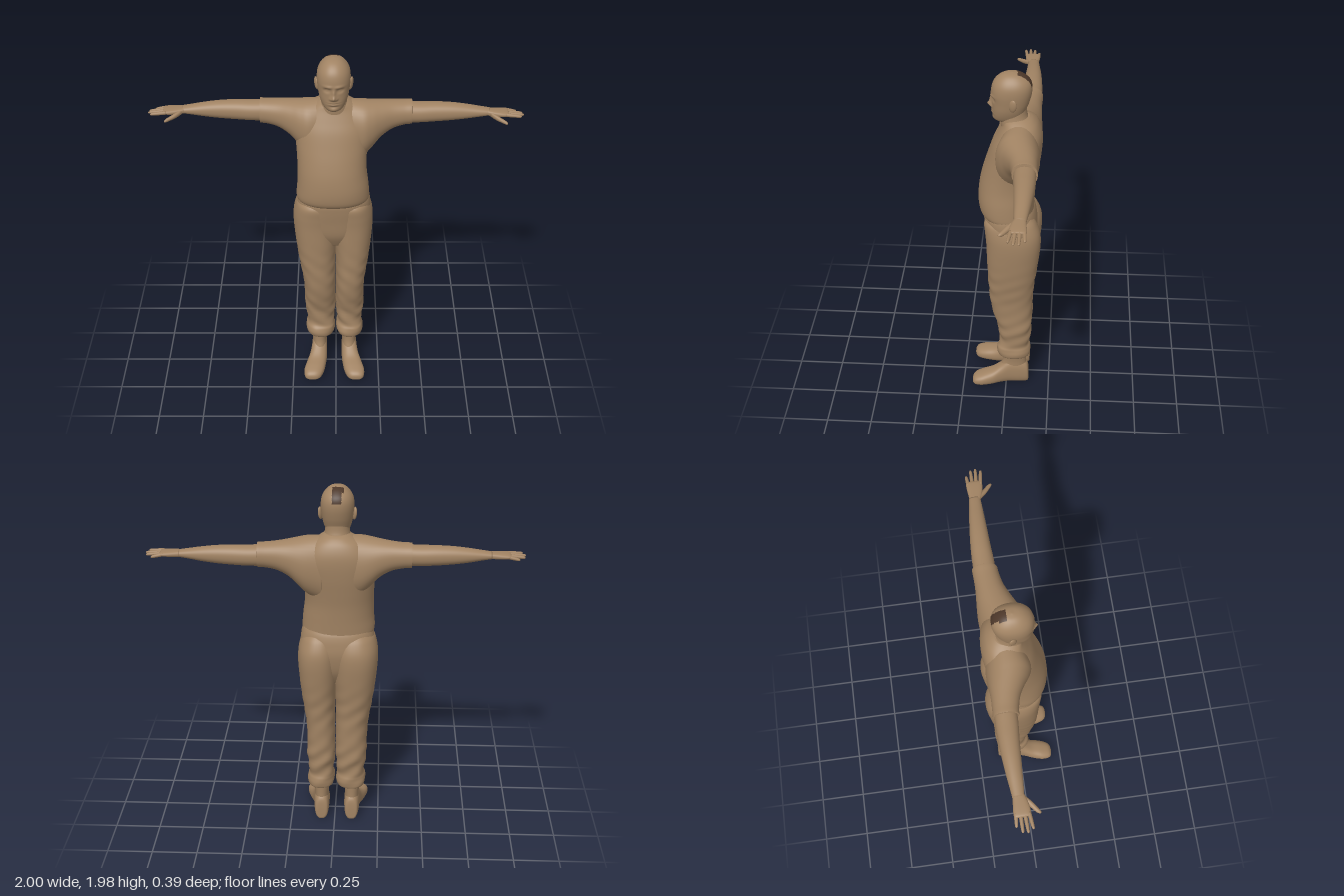
import * as THREE from 'three';

const clay = new THREE.MeshStandardMaterial({ color: 0xa18363 });
clay.name = 'warm brown';
const dark = new THREE.MeshStandardMaterial({ color: 0x4d382a });
dark.name = 'dark brown';

function catmull(a, b, c, d, t) {
  return 0.5 * (2 * b + (c - a) * t + (2 * a - 5 * b + 4 * c - d) * t * t + (3 * b - a - 3 * c + d) * t * t * t);
}

// Smooth skin through rounded cross-sections [position, uMin, uMax, vMin, vMax].
// The axes (u, position, v) are (x, y, z) for 'y', (z, x, y) for 'x' and (y, z, x) for 'z'.
function loft(axis, rows, { power = 2.2, sides = 40, steps = 5, warp } = {}) {
  const s = [...rows].sort((a, b) => a[0] - b[0]);
  const at = (i) => s[Math.min(Math.max(i, 0), s.length - 1)];
  const place = (u, p, v) => {
    const q = axis === 'y' ? new THREE.Vector3(u, p, v)
      : axis === 'x' ? new THREE.Vector3(p, v, u) : new THREE.Vector3(v, u, p);
    if (warp) warp(q);
    return [q.x, q.y, q.z];
  };
  const bend = (c) => Math.sign(c) * Math.abs(c) ** (2 / power);
  const pos = [], idx = [];
  const count = (s.length - 1) * steps + 1;
  const mids = [];
  for (let k = 0; k < count; k++) {
    const i = Math.min(Math.floor(k / steps), s.length - 2), t = k / steps - i;
    const [p, u0, u1, v0, v1] = s[0].map((_, n) => catmull(at(i - 1)[n], at(i)[n], at(i + 1)[n], at(i + 2)[n], t));
    mids.push([(u0 + u1) / 2, p, (v0 + v1) / 2]);
    for (let j = 0; j < sides; j++) {
      const a = (j / sides) * Math.PI * 2;
      pos.push(...place((u0 + u1) / 2 + (u1 - u0) / 2 * bend(Math.cos(a)), p,
        (v0 + v1) / 2 + (v1 - v0) / 2 * bend(Math.sin(a))));
    }
  }
  for (let k = 0; k < count - 1; k++) {
    for (let j = 0; j < sides; j++) {
      const n = (j + 1) % sides, a = k * sides + j, b = k * sides + n;
      idx.push(a, a + sides, b, b, a + sides, b + sides);
    }
  }
  // end caps
  const first = count * sides, top = (count - 1) * sides;
  pos.push(...place(...mids[0]), ...place(...mids[count - 1]));
  for (let j = 0; j < sides; j++) {
    const n = (j + 1) % sides;
    idx.push(first, j, n, first + 1, top + n, top + j);
  }
  const g = new THREE.BufferGeometry();
  g.setAttribute('position', new THREE.Float32BufferAttribute(pos, 3));
  g.setIndex(idx);
  g.computeVertexNormals();
  return g;
}

const bump = (d, w) => Math.exp(-((d / w) ** 2));

// Facial features pressed into the front of the head
function shapeFace(q) {
  if (q.z < 0.01) return;
  const x = q.x + 0.012, ax = Math.abs(x), y = q.y;
  const f = Math.min(1, (q.z - 0.01) / 0.04);
  q.z += f * (0.022 * bump(x, 0.013) * bump(y - 1.8, 0.014)
    + 0.013 * bump(x, 0.009) * bump(y - 1.825, 0.022)
    + 0.007 * bump(ax - 0.015, 0.008) * bump(y - 1.793, 0.008)
    - 0.013 * bump(ax - 0.034, 0.016) * bump(y - 1.84, 0.011)
    + 0.006 * bump(ax - 0.034, 0.01) * bump(y - 1.839, 0.006)
    + 0.006 * bump(ax - 0.028, 0.024) * bump(y - 1.861, 0.008)
    + 0.008 * bump(x, 0.024) * bump(y - 1.766, 0.012)
    - 0.007 * bump(x, 0.026) * bump(y - 1.766, 0.003)
    - 0.004 * bump(x, 0.025) * bump(y - 1.747, 0.006)
    + 0.005 * bump(x, 0.02) * bump(y - 1.728, 0.01));
}

// Soft cloth creases around the knees and shins
function creaseCloth(q) {
  const w = bump(q.y - 0.36, 0.13) + 0.5 * bump(q.y - 0.7, 0.12);
  q.z += 0.005 * w * Math.sin(q.y * 55 + q.x * 45);
  q.x += 0.003 * w * Math.sin(q.y * 70 + q.z * 30);
}

export function createModel() {
  const model = new THREE.Group();
  const add = (name, geometry, material = clay) => {
    const m = new THREE.Mesh(geometry, material);
    m.name = name;
    model.add(m);
    return m;
  };

  // Head, with a dark patch on the back of the crown
  const headRows = [
    [1.705, 0.03, -0.055, 0.05], [1.72, 0.05, -0.08, 0.07], [1.745, 0.064, -0.088, 0.077],
    [1.78, 0.076, -0.1, 0.079], [1.82, 0.083, -0.115, 0.08], [1.87, 0.088, -0.127, 0.085],
    [1.91, 0.085, -0.128, 0.08], [1.94, 0.073, -0.117, 0.066], [1.964, 0.053, -0.092, 0.042],
    [1.978, 0.031, -0.064, 0.014], [1.984, 0.003, -0.028, -0.022],
  ].map(([y, w, z0, z1]) => [y, -0.012 - w, -0.012 + w, z0, z1]);
  const head = loft('y', headRows, { sides: 112, steps: 10, warp: shapeFace });
  const p = head.attributes.position, index = head.index.array, plain = [], patch = [];
  for (let i = 0; i < index.length; i += 3) {
    const t = [index[i], index[i + 1], index[i + 2]];
    const mean = (f) => (f(t[0]) + f(t[1]) + f(t[2])) / 3;
    const x = mean((n) => p.getX(n)), y = mean((n) => p.getY(n)), z = mean((n) => p.getZ(n));
    const inside = y > 1.91 && z < -0.052 && x < 0.014 && x > (z < -0.09 ? -0.035 : -0.046);
    (inside ? patch : plain).push(...t);
  }
  head.setIndex([...plain, ...patch]);
  head.addGroup(0, plain.length, 0);
  head.addGroup(plain.length, patch.length, 1);
  add('head', head, [clay, dark]);
  for (const s of [-1, 1]) {
    const ear = add(s > 0 ? 'leftEar' : 'rightEar', new THREE.SphereGeometry(1, 20, 14));
    ear.scale.set(0.01, 0.036, 0.021);
    ear.position.set(-0.012 + s * 0.09, 1.832, -0.032);
    ear.rotation.set(-0.15, s * -0.35, s * -0.12);
  }
  add('neck', loft('y', [
    [1.65, -0.1, 0.08, -0.14, 0.03], [1.71, -0.084, 0.062, -0.118, 0.035],
    [1.75, -0.076, 0.053, -0.104, 0.033], [1.8, -0.07, 0.047, -0.1, 0.02],
  ]));

  // Shirt body
  add('shirt', loft('y', [
    [1.15, -0.2, 0.17, -0.138, 0.118], [1.168, -0.213, 0.18, -0.145, 0.14], [1.2, -0.215, 0.18, -0.147, 0.153],
    [1.26, -0.21, 0.175, -0.15, 0.157], [1.34, -0.208, 0.165, -0.156, 0.149], [1.42, -0.21, 0.165, -0.168, 0.13],
    [1.5, -0.215, 0.173, -0.18, 0.105], [1.58, -0.215, 0.18, -0.187, 0.078], [1.64, -0.192, 0.16, -0.183, 0.05],
    [1.69, -0.15, 0.12, -0.165, 0.027], [1.72, -0.1, 0.078, -0.14, 0.018], [1.735, -0.07, 0.05, -0.115, 0],
  ], { power: 2.25, sides: 56 }));

  // Sleeves, arms and hands
  for (const s of [-1, 1]) {
    const side = s > 0 ? 'left' : 'right';
    const drop = s > 0 ? -0.012 : 0;
    const along = (name, rows, dy, opts) => add(side + name,
      loft('x', rows.map(([x, z0, z1, y0, y1]) => [s * x, z0, z1, y0 + dy, y1 + dy]), opts));
    along('Sleeve', [
      [0.06, -0.17, 0.04, 1.36, 1.725], [0.14, -0.178, 0.055, 1.4, 1.72], [0.19, -0.178, 0.038, 1.45, 1.714],
      [0.24, -0.175, 0.008, 1.507, 1.708], [0.3, -0.172, -0.022, 1.546, 1.702], [0.36, -0.173, -0.038, 1.563, 1.698],
      [0.4, -0.175, -0.043, 1.567, 1.698], [0.405, -0.172, -0.047, 1.572, 1.694], [0.407, -0.15, -0.07, 1.6, 1.67],
    ], drop / 2);
    along('Arm', [
      [0.36, -0.166, -0.052, 1.578, 1.69], [0.45, -0.168, -0.054, 1.579, 1.688], [0.53, -0.166, -0.06, 1.583, 1.688],
      [0.62, -0.16, -0.065, 1.59, 1.684], [0.7, -0.152, -0.07, 1.6, 1.675], [0.77, -0.143, -0.074, 1.612, 1.664],
      [0.82, -0.137, -0.078, 1.62, 1.656],
    ], drop);
    along('Palm', [
      [0.8, -0.135, -0.08, 1.621, 1.655], [0.84, -0.138, -0.066, 1.621, 1.653], [0.88, -0.142, -0.058, 1.622, 1.651],
      [0.91, -0.142, -0.058, 1.625, 1.648], [0.92, -0.135, -0.066, 1.63, 1.643],
    ], drop, { power: 2.8, sides: 24 });
    // fingers: root z, tip z, tip x
    [[-0.067, -0.056, 0.985], [-0.088, -0.083, 1], [-0.109, -0.109, 0.995], [-0.131, -0.136, 0.965]].forEach(([a, b, tip], i) => {
      const finger = [[0, 0.01], [0.4, 0.0095], [0.8, 0.008], [0.95, 0.006], [1, 0.002]].map(([t, r]) => {
        const z = a + (b - a) * t, y = 1.637 - 0.004 * t - 0.003 * i * t;
        return [0.9 + (tip - 0.9) * t, z - r, z + r, y - r, y + r];
      });
      along('Finger' + (i + 1), finger, drop, { power: 2, sides: 14, steps: 3 });
    });
    along('Thumb', [
      [0.82, -0.095, -0.072, 1.622, 1.648], [0.85, -0.075, -0.042, 1.612, 1.64], [0.88, -0.05, -0.02, 1.608, 1.63],
      [0.9, -0.031, -0.007, 1.606, 1.624], [0.908, -0.018, -0.01, 1.61, 1.617],
    ], drop, { power: 2, sides: 16, steps: 3 });
  }

  // Trousers
  add('trouserSeat', loft('y', [
    [0.87, -0.11, 0.09, -0.1, 0.06], [0.95, -0.19, 0.16, -0.145, 0.1], [1.05, -0.224, 0.19, -0.166, 0.116],
    [1.12, -0.216, 0.189, -0.162, 0.126], [1.165, -0.208, 0.183, -0.152, 0.128], [1.19, -0.2, 0.175, -0.14, 0.11],
  ], { power: 2.4, sides: 56 }));
  const legRows = [
    [0.205, 0.035, 0.12, -0.11, 0.02], [0.208, 0.012, 0.148, -0.132, 0.045], [0.235, 0.002, 0.157, -0.138, 0.056],
    [0.265, 0.003, 0.154, -0.136, 0.052], [0.3, 0.008, 0.147, -0.132, 0.037], [0.4, 0, 0.158, -0.142, 0.044],
    [0.5, 0, 0.158, -0.145, 0.072], [0.6, 0, 0.162, -0.147, 0.091], [0.7, 0, 0.175, -0.154, 0.098],
    [0.8, -0.003, 0.188, -0.167, 0.103], [0.9, -0.01, 0.198, -0.18, 0.107], [1, -0.015, 0.204, -0.189, 0.11],
    [1.07, -0.015, 0.2, -0.184, 0.116], [1.13, -0.005, 0.183, -0.16, 0.12], [1.16, 0.02, 0.16, -0.135, 0.1],
  ];
  const opts = { power: 2.3, sides: 48, steps: 6, warp: creaseCloth };
  add('leftTrouserLeg', loft('y', legRows, opts));
  add('rightTrouserLeg', loft('y', legRows.map(([y, a, b, c, d]) =>
    [y, -b - 0.012 - 0.02 * y, -a - 0.004, c, d]), opts));

  // Boots
  const foot = [
    [-0.131, 0.01, 0.07, 0.055, 0.1], [-0.122, -0.005, 0.13, 0.04, 0.112], [-0.08, -0.01, 0.16, 0.034, 0.12],
    [-0.02, -0.01, 0.16, 0.033, 0.124], [0.03, -0.01, 0.12, 0.034, 0.134], [0.08, -0.01, 0.086, 0.04, 0.152],
    [0.135, -0.008, 0.07, 0.05, 0.166], [0.175, -0.004, 0.056, 0.066, 0.163], [0.192, 0.005, 0.042, 0.085, 0.15],
    [0.197, 0.015, 0.03, 0.105, 0.13],
  ];
  const shaft = [
    [0.05, 0.036, 0.118, -0.122, 0.03], [0.1, 0.036, 0.117, -0.118, 0.035],
    [0.15, 0.037, 0.117, -0.116, 0.02], [0.2, 0.033, 0.122, -0.117, 0.018], [0.27, 0.03, 0.126, -0.118, 0.018],
  ];
  const flatSole = (q) => { q.y = Math.max(q.y, 0); };
  for (const s of [-1, 1]) {
    const side = s > 0 ? 'left' : 'right';
    const span = (a, b) => (s > 0 ? [a, b] : [-b - 0.02, -a - 0.02]);
    add(side + 'BootFoot', loft('z', foot.map(([z, y0, y1, a, b]) => [z, y0, y1, ...span(a, b)]),
      { power: 2.4, warp: flatSole }));
    add(side + 'BootShaft', loft('y', shaft.map(([y, a, b, z0, z1]) => [y, ...span(a, b), z0, z1])));
  }
  return model;
}
